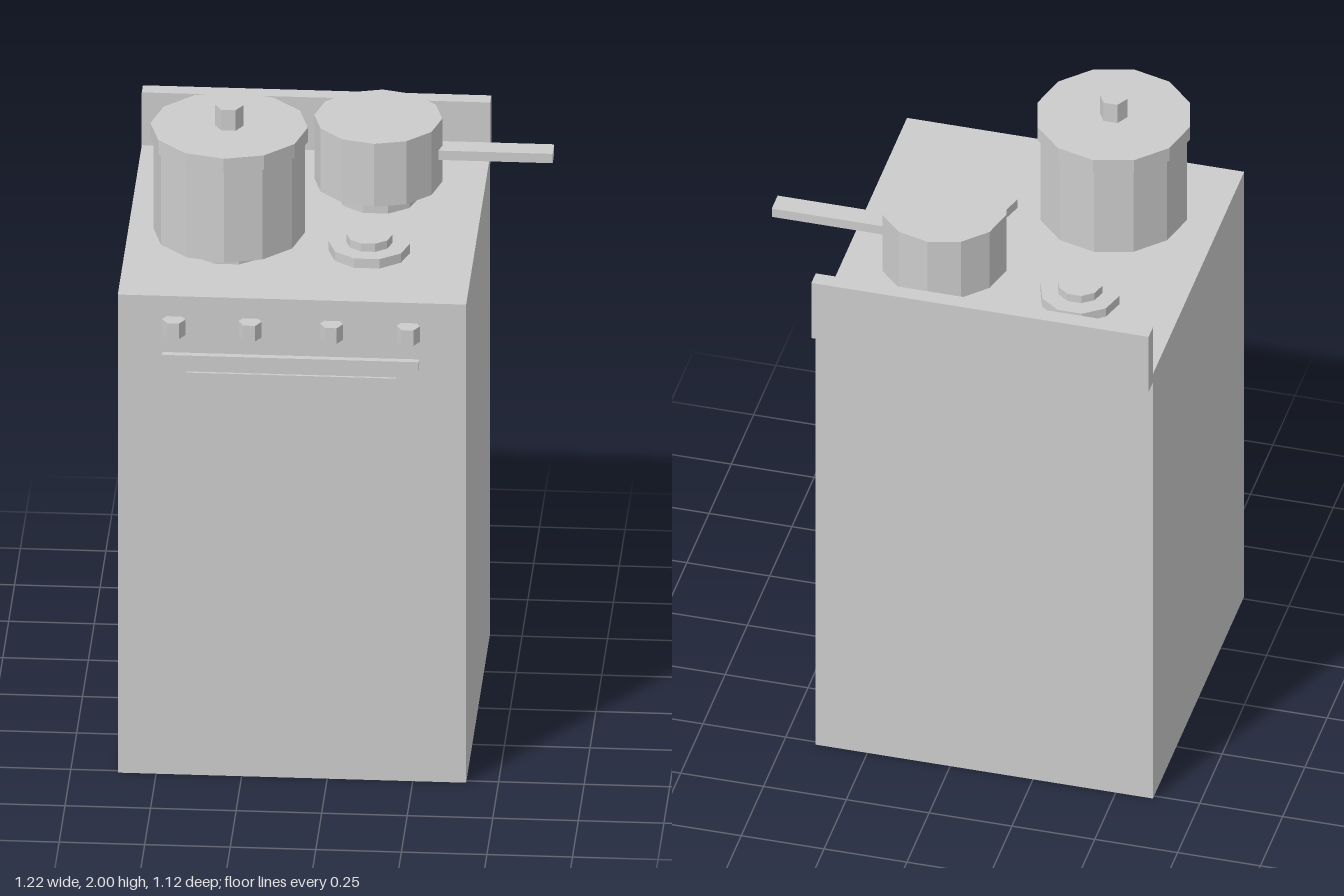
import * as THREE from 'three';

const material = new THREE.MeshStandardMaterial({ color: 0xcccccc, flatShading: true });
const openMaterial = new THREE.MeshStandardMaterial({ color: 0xcccccc, flatShading: true, side: THREE.DoubleSide });

// Box given by its min and max corners; openBottom drops the underside
function box(parent, name, [x0, y0, z0], [x1, y1, z1], openBottom = false) {
  const geometry = new THREE.BoxGeometry(x1 - x0, y1 - y0, z1 - z0);
  if (openBottom) {
    const index = Array.from(geometry.index.array);
    index.splice(18, 6);
    geometry.clearGroups();
    geometry.setIndex(index);
  }
  const mesh = new THREE.Mesh(geometry, openBottom ? openMaterial : material);
  mesh.name = name;
  mesh.position.set((x0 + x1) / 2, (y0 + y1) / 2, (z0 + z1) / 2);
  parent.add(mesh);
}

// Upright faceted cylinder with a corner pointing along x
function cylinder(parent, name, radius, sides, y0, y1, x, z) {
  const geometry = new THREE.CylinderGeometry(radius, radius, y1 - y0, sides);
  geometry.rotateY(Math.PI / 2);
  const mesh = new THREE.Mesh(geometry, material);
  mesh.name = name;
  mesh.position.set(x, (y0 + y1) / 2, z);
  parent.add(mesh);
}

function addGroup(parent, name) {
  const group = new THREE.Group();
  group.name = name;
  parent.add(group);
  return group;
}

export function createModel() {
  const model = new THREE.Group();
  model.name = 'stove';

  // Cabinet, hollow underneath, with a rear splash panel
  box(model, 'cabinet', [-0.612, 0, -0.513], [0.406, 1.54, 0.513], true);
  box(model, 'backPanel', [-0.612, 1.51, -0.562], [0.406, 1.71, -0.513]);

  // Oven door, window and bar handle
  const door = addGroup(model, 'ovenDoor');
  box(door, 'doorFrame', [-0.48, 0.857, 0.505], [0.27, 1.338, 0.524]);
  box(door, 'doorWindow', [-0.411, 0.895, 0.515], [0.202, 1.304, 0.532]);
  box(door, 'doorHandle', [-0.48, 1.34, 0.536], [0.27, 1.37, 0.556]);

  // Control knobs
  for (const x of [-0.447, -0.224, 0.014, 0.238]) {
    cylinder(model, 'controlKnob', 0.034, 6, 1.425, 1.475, x, 0.533);
  }

  // Four burners, each a wide base ring under a smaller cap
  for (const x of [-0.31, 0.1]) {
    for (const z of [-0.207, 0.17]) {
      const burner = addGroup(model, 'burner');
      cylinder(burner, 'burnerBase', 0.119, 10, 1.54, 1.57, x, z);
      cylinder(burner, 'burnerCap', 0.067, 10, 1.57, 1.596, x, z);
    }
  }

  // Stock pot with overhanging lid and knob
  const pot = addGroup(model, 'stockPot');
  cylinder(pot, 'potBody', 0.221, 12, 1.595, 1.89, -0.31, 0.17);
  cylinder(pot, 'potLid', 0.23, 12, 1.888, 1.934, -0.31, 0.17);
  cylinder(pot, 'lidKnob', 0.042, 6, 1.934, 2, -0.31, 0.17);

  // Saucepan with a channel-shaped handle
  const pan = addGroup(model, 'saucepan');
  cylinder(pan, 'panBody', 0.187, 12, 1.595, 1.798, 0.1, -0.207);
  box(pan, 'panHandle', [0.27, 1.68, -0.24], [0.612, 1.71, -0.174], true);

  return model;
}
